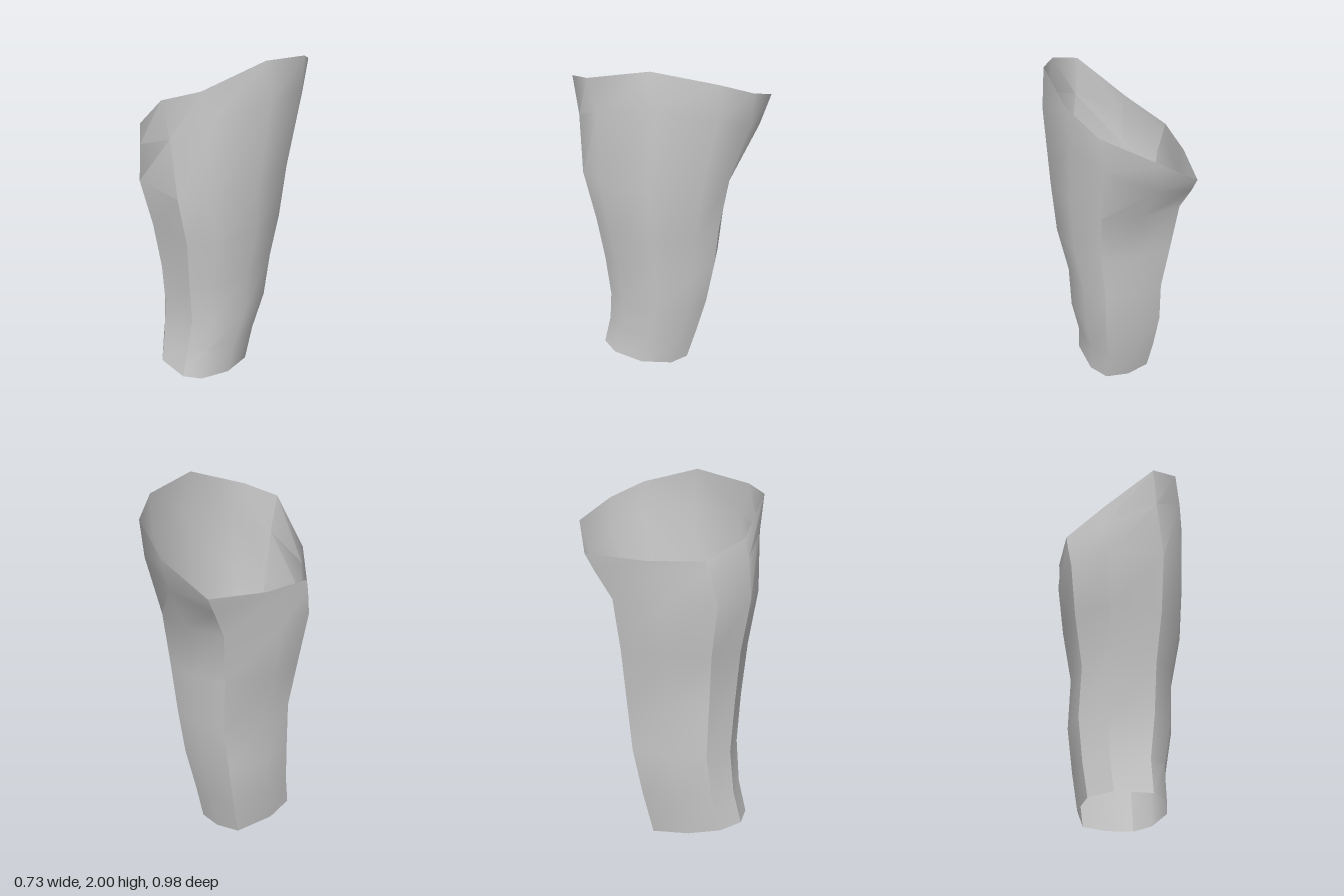
import * as THREE from 'three';
import { toCreasedNormals } from 'three/addons/utils/BufferGeometryUtils.js';

// Ten-sided cross-section, from front-left round the back, in -1..1
const section = [
  [0.48, 0.97], [0.83, 0.68], [1, 0.02], [0.82, -0.65], [0.45, -0.98],
  [-0.16, -1], [-0.76, -0.82], [-1, 0], [-0.87, 0.65], [-0.37, 1],
];

// A ring fitted to its extents, with slopes across x and z
function ring(y, x0, x1, z0, z1, slopeX, slopeZ) {
  return section.map(([u, v]) => [
    (x0 + x1) / 2 + (u * (x1 - x0)) / 2,
    y + slopeX * u + slopeZ * v,
    (z0 + z1) / 2 + (v * (z1 - z0)) / 2,
  ]);
}

// Slanted, flared collar rings
const collar = [
  [0.12, 1.65, 0.46], [0.28, 1.75, 0.33], [0.36, 1.8, 0.035], [0.28, 1.74, -0.25], [0.15, 1.65, -0.4],
  [-0.1, 1.54, -0.44], [-0.31, 1.45, -0.33], [-0.355, 1.44, 0.02], [-0.34, 1.45, 0.29], [-0.14, 1.52, 0.45],
];
const rim = [
  [0.1, 1.85, 0.485], [0.25, 1.91, 0.375], [0.34, 2, 0.06], [0.29, 1.93, -0.25], [0.17, 1.84, -0.41],
  [-0.11, 1.71, -0.49], [-0.32, 1.54, -0.38], [-0.358, 1.51, -0.03], [-0.345, 1.51, 0.27], [-0.16, 1.62, 0.43],
];

// Skin closed rings into an open tube
function skin(rings) {
  const n = section.length;
  const index = [];
  for (let r = 0; r < rings.length - 1; r++) {
    for (let i = 0; i < n; i++) {
      const a = r * n + i, b = r * n + ((i + 1) % n);
      index.push(a, b, b + n, a, b + n, a + n);
    }
  }
  const geometry = new THREE.BufferGeometry();
  geometry.setAttribute('position', new THREE.Float32BufferAttribute(rings.flat(2), 3));
  geometry.setIndex(index);
  return toCreasedNormals(geometry, 0.65);
}

export function createModel() {
  const group = new THREE.Group();
  const rings = [
    ring(0.041, -0.24, 0.2, -0.1, 0.42, 0, 0.037), // cuff
    ring(0.24, -0.265, 0.205, -0.155, 0.38, 0, 0.015),
    ring(0.48, -0.29, 0.25, -0.21, 0.36, 0, 0),
    ring(0.75, -0.28, 0.26, -0.25, 0.38, 0, 0),
    ring(1.03, -0.33, 0.315, -0.272, 0.41, 0.005, 0),
    ring(1.32, -0.365, 0.335, -0.315, 0.465, 0.02, 0),
    collar,
    rim, // slanted top opening
  ];
  const sleeve = new THREE.Mesh(
    skin(rings),
    new THREE.MeshStandardMaterial({ color: 0xcccccc, side: THREE.DoubleSide }),
  );
  sleeve.name = 'sleeve';
  group.add(sleeve);
  return group;
}
